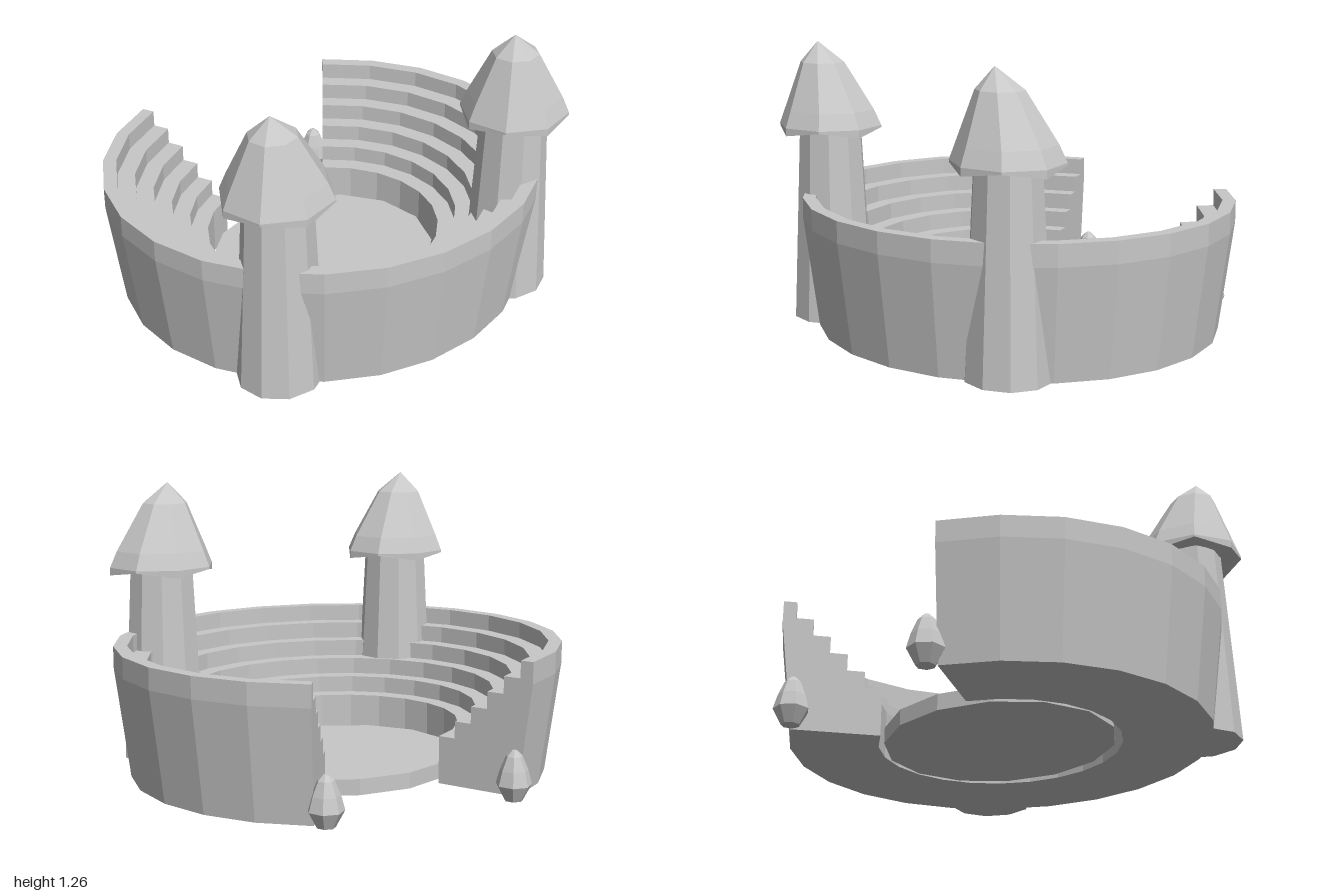
import * as THREE from 'three';

const DEPTH = 0.94; // everything is slightly squashed front to back
const CENTRE_Z = -0.04;

const stone = new THREE.MeshStandardMaterial({ color: 0xc8c8c8, flatShading: true, side: THREE.DoubleSide });
stone.name = 'pale stone';

function part(name, geometry, parent) {
  const mesh = new THREE.Mesh(geometry, stone);
  mesh.name = name;
  parent.add(mesh);
  return mesh;
}

const vectors = (pairs) => pairs.map(([x, y]) => new THREE.Vector2(x, y));

// Horseshoe of stepped seats, open at the back
function seating() {
  const group = new THREE.Group();
  group.name = 'seating';
  const profile = [[0.54, 0], [0.935, 0], [1, 0.49], [1, 0.585], [0.94, 0.585]];
  for (let i = 5; i >= 1; i--) {
    const r = 0.54 + 0.08 * i, y = 0.21 + 0.075 * (i - 1);
    profile.push([r, y], [r - 0.08, y]);
  }
  const points = vectors([...profile, profile[0]]);
  const half = Math.PI * 5 / 6;
  part('seatingRing', new THREE.LatheGeometry(points, 20, -half, 2 * half), group);

  // Flat walls closing both ends of the horseshoe
  for (const phi of [-half, half]) {
    const cap = new THREE.ShapeGeometry(new THREE.Shape(vectors(profile)));
    cap.rotateY(phi - Math.PI / 2);
    part(phi < 0 ? 'rightEndWall' : 'leftEndWall', cap, group);
  }
  group.scale.z = DEPTH;
  group.position.z = CENTRE_Z;
  return group;
}

// Tower: tapered shaft under a leaning eight-sided cap
function tower(name, x, z) {
  const group = new THREE.Group();
  group.name = name;
  const shaft = new THREE.CylinderGeometry(0.147, 0.192, 0.88, 10);
  shaft.rotateY(Math.PI / 10).translate(0, 0.44, 0);
  part('shaft', shaft, group);

  const roof = new THREE.LatheGeometry(vectors([
    [0.12, 0.88], [0.243, 0.85], [0.243, 0.885], [0.212, 0.957], [0.104, 1.166], [0, 1.257],
  ]), 8);
  const p = roof.attributes.position;
  for (let i = 0; i < p.count; i++) {
    const px = p.getX(i), y = p.getY(i), pz = p.getZ(i);
    const lean = Math.max(0, (y - 0.85) / 0.407) ** 2;
    const diagonal = Math.abs(px * pz) > 0.01;
    // Scalloped lower edge: diagonal corners sit higher
    if (y < 0.86 && diagonal) p.setY(i, y + 0.025);
    p.setX(i, px - 0.045 * lean);
    p.setZ(i, pz + 0.032 * lean);
  }
  part('roof', roof, group);
  group.scale.z = DEPTH;
  group.position.set(x, 0, z);
  return group;
}

export function createModel() {
  const model = new THREE.Group();
  model.name = 'arena';
  model.add(seating());

  // Arena floor
  const floor = new THREE.CylinderGeometry(0.53, 0.53, 0.07, 14);
  floor.rotateY(Math.PI / 14).scale(1, 1, 0.88).translate(0, 0.035, -0.045);
  part('floor', floor, model);

  model.add(tower('rightTower', -0.59, 0.57), tower('leftTower', 0.64, 0.5));

  // Bulb-shaped posts beside the entrance
  const bulb = vectors([[0, 0], [0.04, 0], [0.077, 0.068], [0.06, 0.13], [0.035, 0.19], [0.012, 0.213], [0, 0.215]]);
  for (const [name, x] of [['rightPost', -0.433], ['leftPost', 0.428]]) {
    const post = part(name, new THREE.LatheGeometry(bulb, 7, -0.14), model);
    post.position.set(x, 0, -0.83);
  }
  return model;
}
